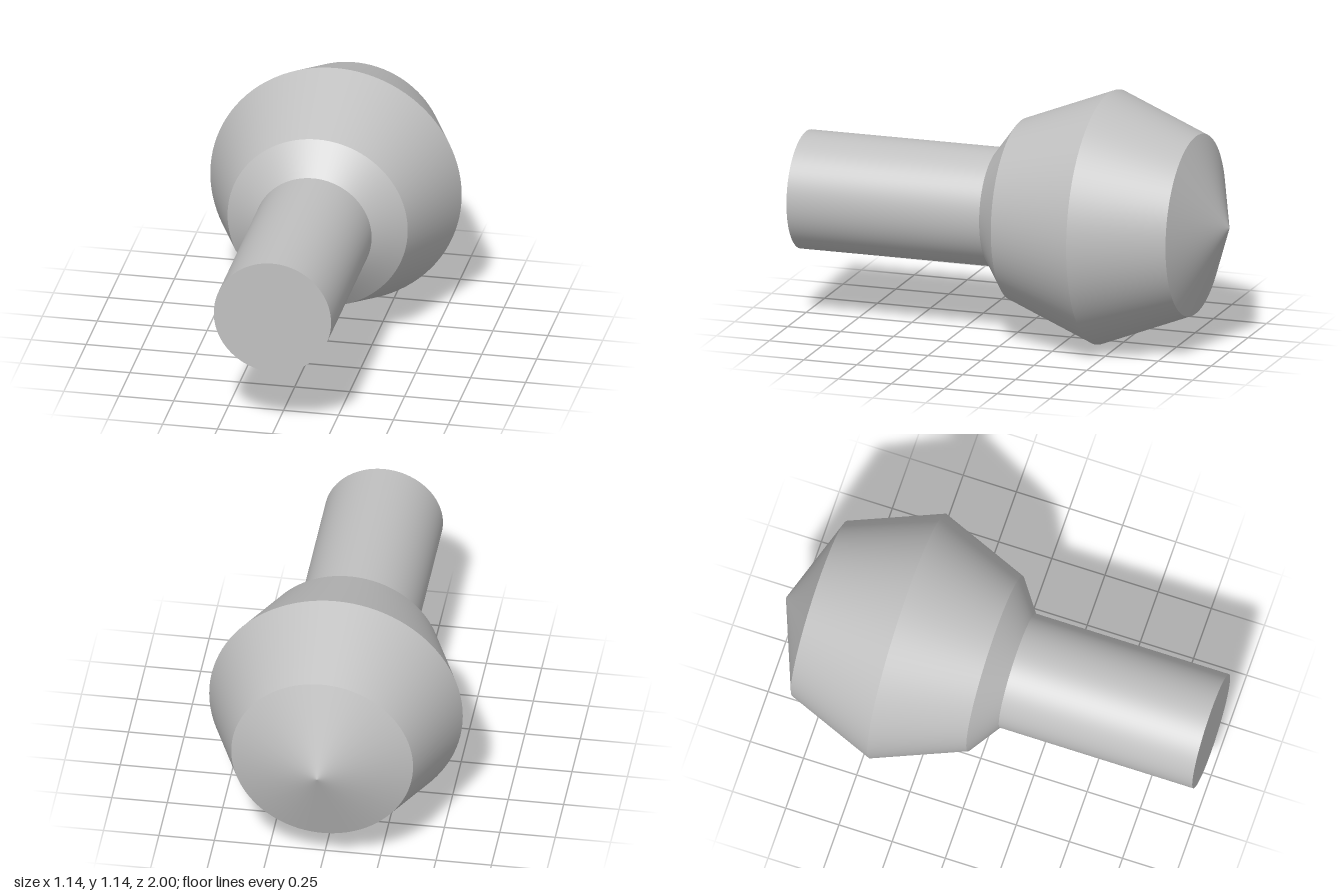
import * as THREE from 'three';

export function createModel() {
  const model = new THREE.Group();
  model.name = 'knob';
  const grey = new THREE.MeshStandardMaterial({ color: 0xc0c0c0 });
  grey.name = 'grey';

  const axisHeight = 0.572;
  const sides = 96;

  // Bands along the z axis: name, back z, back radius, front z, front radius
  const bands = [
    ['backCone', -1, 0, -0.84, 0.41],
    ['rearHead', -0.84, 0.41, -0.427, 0.572],
    ['frontHead', -0.427, 0.572, -0.015, 0.41],
    ['collar', -0.015, 0.41, 0.09, 0.267],
    ['shaft', 0.09, 0.267, 1, 0.267],
    ['shaftEnd', 1, 0.267, 1, 0],
  ];

  // One lathe per band keeps the rings sharp and the sides smooth
  for (const [name, z0, r0, z1, r1] of bands) {
    const profile = [new THREE.Vector2(r0, z0), new THREE.Vector2(r1, z1)];
    const geometry = new THREE.LatheGeometry(profile, sides);
    geometry.rotateX(Math.PI / 2);
    const mesh = new THREE.Mesh(geometry, grey);
    mesh.name = name;
    mesh.position.y = axisHeight;
    model.add(mesh);
  }
  return model;
}
